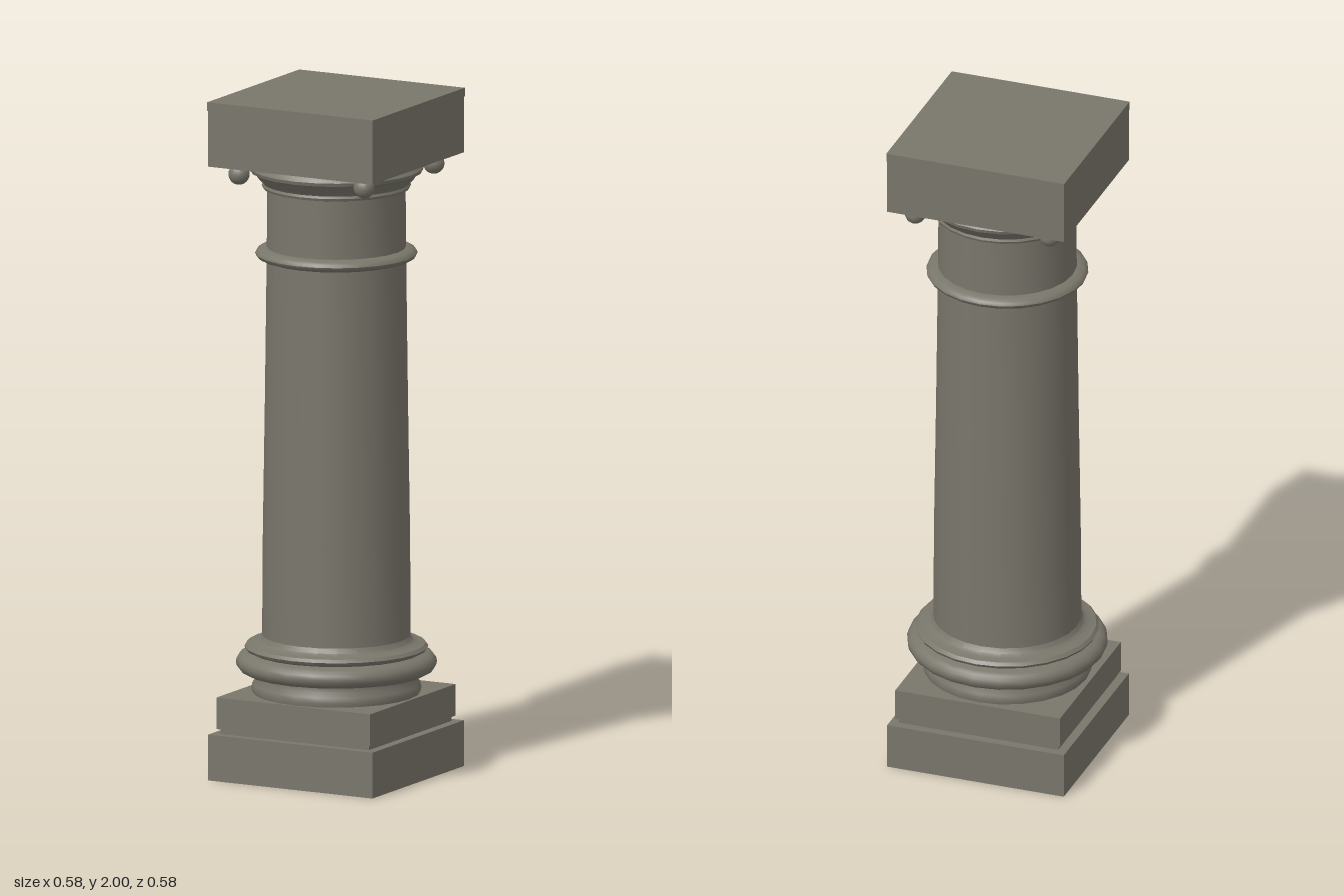
import * as THREE from 'three';
import { toCreasedNormals } from 'three/addons/utils/BufferGeometryUtils.js';

export function createModel() {
  const group = new THREE.Group();
  const stone = new THREE.MeshStandardMaterial({ color: 0x79766b });
  stone.name = 'stone';

  const add = (name, geometry, x = 0, y = 0, z = 0) => {
    const mesh = new THREE.Mesh(geometry, stone);
    mesh.name = name;
    mesh.position.set(x, y, z);
    group.add(mesh);
    return mesh;
  };
  // Square slab between two heights
  const slab = (name, half, y0, y1) =>
    add(name, new THREE.BoxGeometry(half * 2, y1 - y0, half * 2), -0.003, (y0 + y1) / 2, -0.003);
  // Turned part from [radius, height] pairs, listed bottom to top
  const turned = (name, points) => {
    const profile = points.map(([r, y]) => new THREE.Vector2(r, y));
    add(name, toCreasedNormals(new THREE.LatheGeometry(profile, 24), 0.65));
  };
  // Half-round bulge that swells from radius r by depth d
  const bulge = (r, d, y, h, steps = 8) =>
    Array.from({ length: steps + 1 }, (_, i) => {
      const a = -Math.PI / 2 + (Math.PI * i) / steps;
      return [r + d * Math.cos(a), y + h * Math.sin(a)];
    });

  // Square base
  slab('plinth', 0.272, 0, 0.135);
  slab('plinthNeck', 0.245, 0.135, 0.15);
  slab('upperPlinth', 0.254, 0.15, 0.243);

  // Round base mouldings
  turned('baseMoulding', [
    [0, 0.24], [0.243, 0.243], [0.246, 0.255], [0.243, 0.27], [0.234, 0.285], [0.234, 0.298],
    ...bulge(0.255, 0.036, 0.332, 0.03),
    [0.25, 0.364], [0.262, 0.37], [0.266, 0.378], [0.258, 0.387],
    [0.236, 0.39], [0.222, 0.397], [0.213, 0.415],
  ]);

  // Tapering shaft
  turned('shaft', [[0.215, 0.39], [0.213, 0.7], [0.207, 1.1], [0.202, 1.5], [0.2, 1.745]]);

  // Ring around the neck of the shaft
  turned('neckRing', bulge(0.195, 0.04, 1.537, 0.019));

  // Flaring capital
  turned('capital', [
    [0.2, 1.727], [0.213, 1.73], [0.216, 1.737], [0.213, 1.744],
    [0.219, 1.752], [0.23, 1.762], [0.238, 1.775], [0.25, 1.78], [0.253, 1.79],
    [0.246, 1.8], [0.235, 1.812],
  ]);

  // Square top slab
  slab('abacus', 0.272, 1.81, 1.975);
  slab('abacusLip', 0.274, 1.975, 2);

  // Small balls under the corners of the top slab
  for (const x of [-1, 1])
    for (const z of [-1, 1])
      add('cornerBall', new THREE.SphereGeometry(0.031, 16, 12), x * 0.207, 1.784, z * 0.207);

  return group;
}
